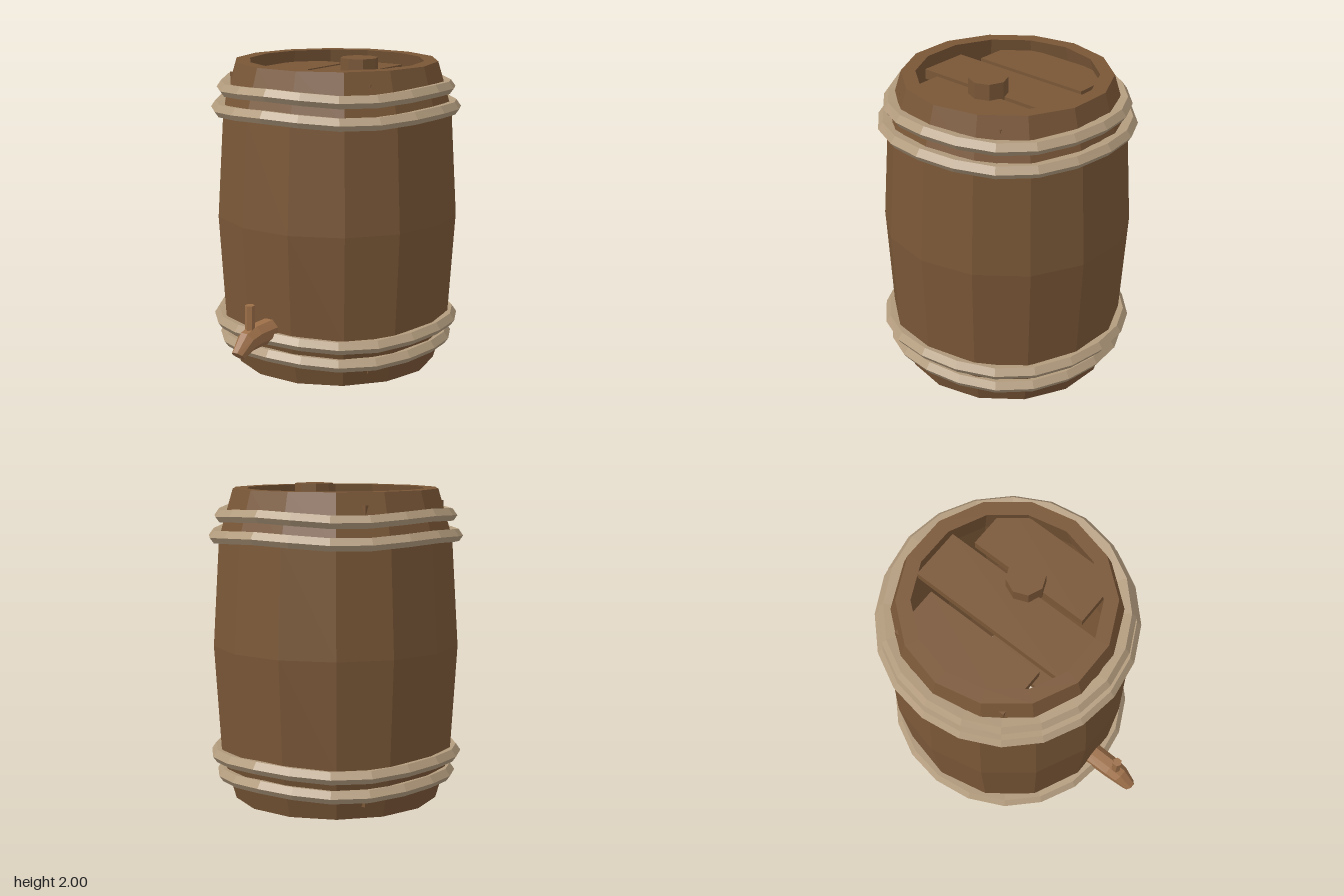
import * as THREE from 'three';

const CZ = -0.135; // barrel axis sits behind the origin because of the tap

const flat = (name, color) => {
  const m = new THREE.MeshStandardMaterial({ color, flatShading: true });
  m.name = name;
  return m;
};

// Skin a list of equal-length point rings; optionally join the ends or cap the last ring
function skin(rings, joinEnds, capLast) {
  const n = rings[0].length, pos = [], idx = [];
  rings.forEach(r => r.forEach(p => pos.push(...p)));
  const spans = joinEnds ? rings.length : rings.length - 1;
  for (let i = 0; i < spans; i++) {
    const j = (i + 1) % rings.length;
    for (let k = 0; k < n; k++) {
      const l = (k + 1) % n;
      const a = i * n + k, b = j * n + k, c = j * n + l, d = i * n + l;
      idx.push(a, b, d, b, c, d);
    }
  }
  if (capLast) {
    const s = (rings.length - 1) * n;
    for (let k = 1; k < n - 1; k++) idx.push(s, s + k + 1, s + k);
  }
  const g = new THREE.BufferGeometry();
  g.setAttribute('position', new THREE.Float32BufferAttribute(pos, 3));
  g.setIndex(idx);
  g.computeVertexNormals();
  return g;
}

// Gently waving hoop with a ridged outer face
function hoopGeometry(radius, y) {
  const section = [[-0.03, 0.038], [0, -0.005], [-0.025, -0.04], [-0.09, -0.035], [-0.09, 0.03]];
  const rings = [];
  for (let i = 0; i < 20; i++) {
    const a = i / 20 * Math.PI * 2;
    const wave = 0.013 * Math.cos(4 * a);
    rings.push(section.map(([dr, dy]) =>
      [(radius + dr) * Math.cos(a), y + dy + wave, (radius + dr) * Math.sin(a)]));
  }
  return skin(rings, true, false);
}

// Bent spout: each station is z, y, radius across, radius up, pitch
function spoutGeometry() {
  const stations = [
    [0.5, 0.352, 0.07, 0.072, 0],
    [0.75, 0.35, 0.066, 0.072, 0.1],
    [0.82, 0.335, 0.06, 0.066, 0.4],
    [0.907, 0.268, 0.04, 0.042, 0.85],
  ];
  return skin(stations.map(([z, y, rx, ry, pitch]) => {
    const ring = [];
    for (let k = 0; k < 8; k++) {
      const t = -(k + 0.5) / 8 * Math.PI * 2;
      const up = ry * Math.sin(t) * 1.08;
      ring.push([rx * 1.08 * Math.cos(t), y + up * Math.cos(pitch), z + up * Math.sin(pitch)]);
    }
    return ring;
  }), false, true);
}

export function createModel() {
  const model = new THREE.Group();
  model.name = 'barrel';
  const wood = flat('barrel wood', 0x7a5737);
  const hoopMat = flat('pale hoop', 0xb39c7e);
  const tapMat = flat('tap wood', 0x9c6f48);

  const add = (name, geometry, material, x = 0, y = 0, z = 0) => {
    const mesh = new THREE.Mesh(geometry, material);
    mesh.name = name;
    mesh.position.set(x, y, z);
    model.add(mesh);
    return mesh;
  };

  // Hollow staved shell, open at both ends
  const profile = [
    [0.565, 0], [0.655, 0], [0.745, 0.31], [0.787, 0.99], [0.745, 1.67],
    [0.655, 1.975], [0.565, 1.975], [0.64, 1.67], [0.69, 0.99], [0.64, 0.31], [0.565, 0],
  ].map(([r, y]) => new THREE.Vector2(r, y));
  add('shell', new THREE.LatheGeometry(profile, 14, Math.PI / 2), wood, 0, 0, CZ);

  // Lid and base planks, with gaps between them
  for (const [part, y] of [['lid', 1.865], ['base', 0.11]]) {
    for (const [side, x0, x1, half] of [
      ['Right', -0.545, -0.212, 0.408], ['Middle', -0.175, 0.157, 0.548], ['Left', 0.195, 0.53, 0.408],
    ]) {
      add(`${part}Plank${side}`, new THREE.BoxGeometry(x1 - x0, 0.065, half * 2), wood, (x0 + x1) / 2, y, CZ);
    }
  }

  // Bung on the lid
  const bung = new THREE.CylinderGeometry(0.122, 0.122, 0.13, 8);
  add('bung', bung, wood, 0.177, 1.935, CZ);

  // Two hoops near each end
  [[0.77, 1.818], [0.808, 1.69], [0.808, 0.3], [0.77, 0.172]].forEach(([r, y], i) =>
    add(`hoop${i + 1}`, hoopGeometry(r, y), hoopMat, 0, 0, CZ));

  // Tap with an upright handle
  add('tapSpout', spoutGeometry(), tapMat);
  add('tapHandle', new THREE.CylinderGeometry(0.031, 0.031, 0.19, 6), tapMat, 0, 0.465, 0.787);

  return model;
}
